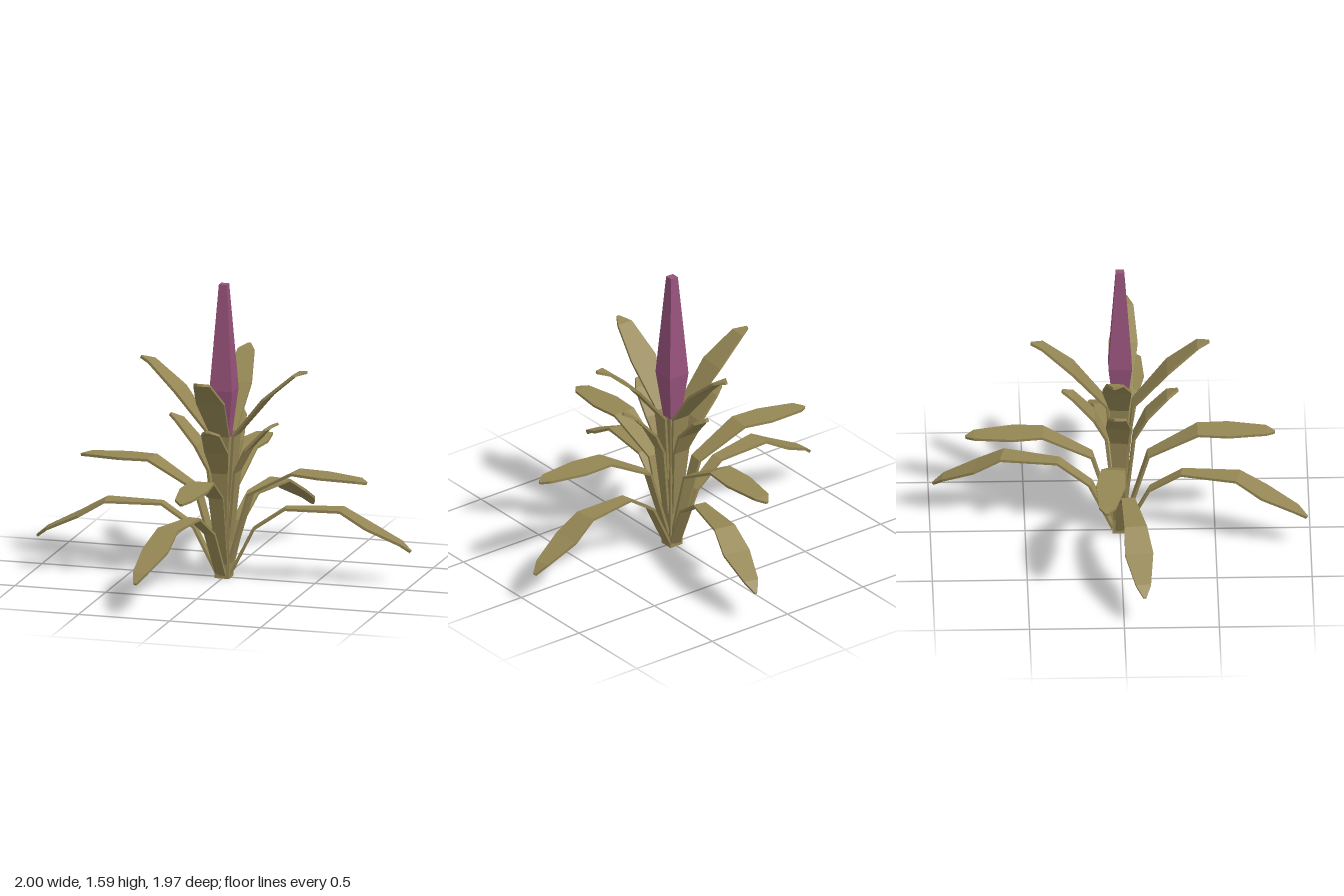
import * as THREE from 'three';

const green = new THREE.MeshStandardMaterial({ color: 0x948654, flatShading: true });
const purple = new THREE.MeshStandardMaterial({ color: 0x96527a, flatShading: true });
const THICKNESS = 0.014;

// Each tier: leaf stations [distance from axis, height, width] and the yaw
// in degrees of the sideways pair and of the front/back pair.
const tiers = [
  { name: 'lowestLeaf', sideYaw: 6.2, frontYaw: -11.3,
    stations: [[0.035, 0.02, 0.06], [0.16, 0.27, 0.065], [0.33, 0.387, 0.07], [0.63, 0.392, 0.12],
      [0.77, 0.31, 0.15], [0.945, 0.225, 0.08], [1.0, 0.18, 0.015]] },
  { name: 'lowerLeaf', sideYaw: -6.2, frontYaw: 0.5,
    stations: [[0.035, 0.08, 0.06], [0.15, 0.465, 0.08], [0.41, 0.607, 0.13], [0.57, 0.603, 0.155],
      [0.77, 0.596, 0.09], [0.815, 0.585, 0.015]] },
  { name: 'upperLeaf', sideYaw: -5, frontYaw: 0,
    stations: [[0.035, 0.2, 0.05], [0.075, 0.58, 0.09], [0.14, 0.71, 0.13], [0.25, 0.83, 0.1],
      [0.305, 0.858, 0.02]] },
  { name: 'topLeaf', sideYaw: -5, frontYaw: 0,
    stations: [[0.035, 0.4, 0.05], [0.07, 0.78, 0.1], [0.25, 1.0, 0.155], [0.41, 1.137, 0.09],
      [0.47, 1.153, 0.015]] },
];

// Thin solid blade running along +x, swept from rectangular cross-sections
function leafGeometry(stations) {
  const pos = [], idx = [];
  const quad = (a, b, c, d) => idx.push(a, b, c, a, c, d);
  const n = stations.length;
  stations.forEach(([r, y, w], k) => {
    const p = stations[Math.max(k - 1, 0)], q = stations[Math.min(k + 1, n - 1)];
    const t = new THREE.Vector2(q[0] - p[0], q[1] - p[1]).normalize().multiplyScalar(THICKNESS / 2);
    for (const [up, side] of [[1, 1], [1, -1], [-1, -1], [-1, 1]])
      pos.push(r - t.y * up, y + t.x * up, side * w / 2);
    if (k === 0) return;
    for (let i = 0; i < 4; i++) {
      const j = (i + 1) % 4, a = (k - 1) * 4, b = k * 4;
      quad(a + i, b + i, b + j, a + j);
    }
  });
  const e = (n - 1) * 4;
  quad(0, 1, 2, 3);
  quad(e + 3, e + 2, e + 1, e);
  const g = new THREE.BufferGeometry();
  g.setAttribute('position', new THREE.Float32BufferAttribute(pos, 3));
  g.setIndex(idx);
  g.computeVertexNormals();
  return g;
}

// Square tapered solid from [half width, height] pairs
function squareSolid(name, profile, material) {
  const pts = profile.map(([h, y]) => new THREE.Vector2(h * Math.SQRT2, y));
  const mesh = new THREE.Mesh(new THREE.LatheGeometry(pts, 4, Math.PI / 4), material);
  mesh.name = name;
  return mesh;
}

export function createModel() {
  const group = new THREE.Group();
  group.name = 'floweringPlant';

  // Stem and flower spike
  group.add(squareSolid('stem', [[0, 0], [0.04, 0], [0.036, 0.76], [0, 0.76]], green));
  group.add(squareSolid('flowerSpike',
    [[0, 0.73], [0.03, 0.73], [0.062, 1.02], [0.022, 1.59], [0, 1.59]], purple));

  // Four leaves per tier
  for (const { name, sideYaw, frontYaw, stations } of tiers) {
    const geometry = leafGeometry(stations);
    for (let i = 0; i < 4; i++) {
      const leaf = new THREE.Mesh(geometry, green);
      leaf.name = name;
      leaf.rotation.y = i * Math.PI / 2 + THREE.MathUtils.degToRad(i % 2 ? frontYaw : sideYaw);
      group.add(leaf);
    }
  }
  return group;
}
